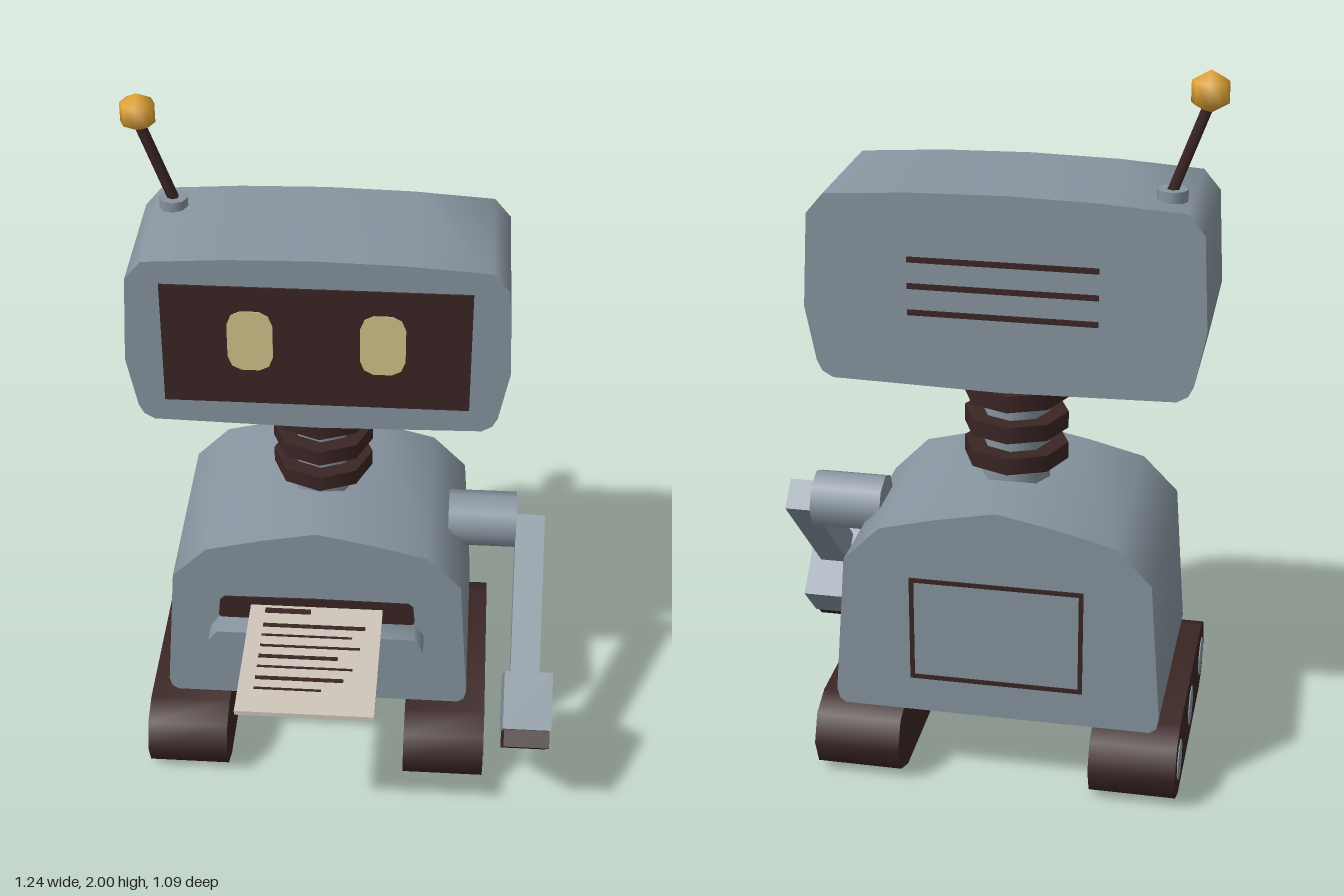
import * as THREE from 'three';
import { toCreasedNormals } from 'three/addons/utils/BufferGeometryUtils.js';

const CX = -0.073; // centre line of the head, neck and body

export function createModel() {
  const robot = new THREE.Group();
  robot.name = 'robot';

  const mat = (name, color) => {
    const m = new THREE.MeshStandardMaterial({ color });
    m.name = name;
    return m;
  };
  const grey = mat('steel grey', 0x87949f);
  const dark = mat('dark brown', 0x3a2524);
  const cream = mat('eye cream', 0xd3c48a);
  const paper = mat('paper', 0xcfc6bb);
  const gold = mat('gold', 0xe0a436);

  const add = (name, geo, material, x = 0, y = 0, z = 0, parent = robot) => {
    const mesh = new THREE.Mesh(geo, material);
    mesh.name = name;
    mesh.position.set(x, y, z);
    parent.add(mesh);
    return mesh;
  };
  const box = (name, material, w, h, d, x, y, z, parent) =>
    add(name, new THREE.BoxGeometry(w, h, d), material, x, y, z, parent);
  const cyl = (r, h, sides = 8) => new THREE.CylinderGeometry(r, r, h, sides);

  // Extrude an outline along z, smooth around the sides and sharp at the caps
  const slab = (points, depth) => {
    const shape = new THREE.Shape(points.map(([x, y]) => new THREE.Vector2(x, y)));
    return toCreasedNormals(new THREE.ExtrudeGeometry(shape, { depth, bevelEnabled: false }), 1.0);
  };
  // Complete a right-hand half outline (listed bottom to top) by mirroring it
  const mirrored = (half) => [
    ...half,
    ...half.filter(([x]) => x > 0).reverse().map(([x, y]) => [-x, y]),
  ];

  // Head
  add('head', slab(mirrored([
    [0, 1.145], [0.455, 1.155], [0.484, 1.172], [0.498, 1.2], [0.527, 1.35],
    [0.513, 1.605], [0.467, 1.66], [0.24, 1.675], [0, 1.68],
  ]), 0.405), grey, CX, 0, -0.405);
  box('faceScreen', dark, 0.84, 0.37, 0.006, -0.075, 1.41, 0.002);
  const eye = slab(mirrored([
    [0.025, -0.093], [0.05, -0.08], [0.062, -0.05],
    [0.062, 0.05], [0.05, 0.08], [0.025, 0.093],
  ]), 0.004);
  for (const s of [-1, 1]) {
    add(s < 0 ? 'rightEye' : 'leftEye', eye, cream, -0.074 + s * 0.18, 1.428, 0.004);
  }
  for (let i = -1; i <= 1; i++) {
    box('headVent', dark, 0.5, 0.015, 0.006, CX, 1.425 + i * 0.072, -0.406);
  }

  // Antenna
  add('antennaBase', cyl(0.04, 0.04), grey, -0.49, 1.672, -0.3);
  const foot = new THREE.Vector3(-0.487, 1.68, -0.3);
  const tip = new THREE.Vector3(-0.575, 1.92, -0.3);
  const rod = add('antennaRod', cyl(0.016, foot.distanceTo(tip), 6), dark);
  rod.position.lerpVectors(foot, tip, 0.5);
  rod.quaternion.setFromUnitVectors(new THREE.Vector3(0, 1, 0), tip.clone().sub(foot).normalize());
  add('antennaBall', new THREE.SphereGeometry(0.055, 8, 3), gold, -0.575, 1.945, -0.3);

  // Neck and its rings
  add('neck', cyl(0.094, 0.38), grey, CX, 0.98, -0.2);
  for (const y of [0.904, 0.995, 1.085]) {
    add('neckRing', cyl(0.144, 0.047), dark, CX, y, -0.2);
  }

  // Body
  add('body', slab(mirrored([
    [0.422, 0.222], [0.44, 0.235], [0.447, 0.265], [0.417, 0.667],
    [0.318, 0.768], [0.16, 0.808], [0, 0.84],
  ]), 0.595), grey, CX, 0, -0.5);

  // Back panel outline
  const panel = new THREE.Group();
  panel.name = 'backPanel';
  panel.position.set(CX, 0.476, -0.501);
  robot.add(panel);
  for (const s of [-1, 1]) {
    box('panelLine', dark, 0.474, 0.012, 0.006, 0, s * 0.147, 0, panel);
    box('panelLine', dark, 0.012, 0.306, 0.006, s * 0.231, 0, 0, panel);
  }

  // Chest slot, tray and printed sheet
  add('paperSlot', slab(mirrored([
    [0.28, 0.521], [0.287, 0.53], [0.282, 0.585], [0.268, 0.599], [0, 0.602],
  ]), 0.006), dark, CX, 0, 0.093);
  add('paperTray', slab(mirrored([
    [0.315, 0.47], [0.313, 0.482], [0.286, 0.52],
  ]), 0.075), grey, CX, 0, 0.09);
  box('paperSheet', paper, 0.385, 0.014, 0.48, -0.072, 0.566, 0.308);
  // Printed lines: z, right end, thickness
  const lines = [
    [0.123, -0.087, 0.02], [0.187, 0.075, 0.014], [0.23, 0.04, 0.007], [0.275, 0.065, 0.008],
    [0.32, 0.005, 0.013], [0.363, 0.05, 0.007], [0.41, 0.027, 0.013], [0.453, -0.032, 0.007],
  ];
  for (const [z, end, t] of lines) {
    box('printedLine', dark, end + 0.22, 0.003, t, (end - 0.22) / 2, 0.574, z);
  }

  // Single left arm, bent forward
  const shoulder = add('shoulder', cyl(0.083, 0.2), grey, 0.4, 0.696, -0.2);
  shoulder.rotation.z = Math.PI / 2;
  const arm = new THREE.Group();
  arm.name = 'leftArm';
  arm.position.set(0, 0.696, -0.2);
  arm.rotation.x = -Math.PI / 4;
  robot.add(arm);
  box('armBar', grey, 0.085, 0.51, 0.09, 0.542, -0.245, 0, arm);
  box('hand', grey, 0.138, 0.165, 0.312, 0.549, -0.541, 0, arm);
  box('gripPad', dark, 0.13, 0.048, 0.302, 0.549, -0.65, 0, arm);

  // Tracks with wheels on the outer faces
  const R = 0.108, FRONT = 0.132, BACK = -0.437;
  const outline = [];
  for (let i = 0; i < 10; i++) {
    const a = -Math.PI / 2 + (i - (i > 4 ? 1 : 0)) * Math.PI / 4;
    outline.push([(i > 4 ? BACK : FRONT) + R * Math.cos(a), R + R * Math.sin(a)]);
  }
  const track = slab(outline, 0.238).rotateY(-Math.PI / 2);
  const wheel = cyl(0.057, 0.008).rotateY(Math.PI / 8).rotateZ(Math.PI / 2);
  for (const s of [-1, 1]) {
    const side = s < 0 ? 'right' : 'left';
    add(side + 'Track', track, dark, s < 0 ? -0.335 : 0.431);
    for (const z of [FRONT, -0.152, BACK]) {
      add(side + 'Wheel', wheel, grey, s < 0 ? -0.572 : 0.43, R, z);
    }
  }

  return robot;
}
